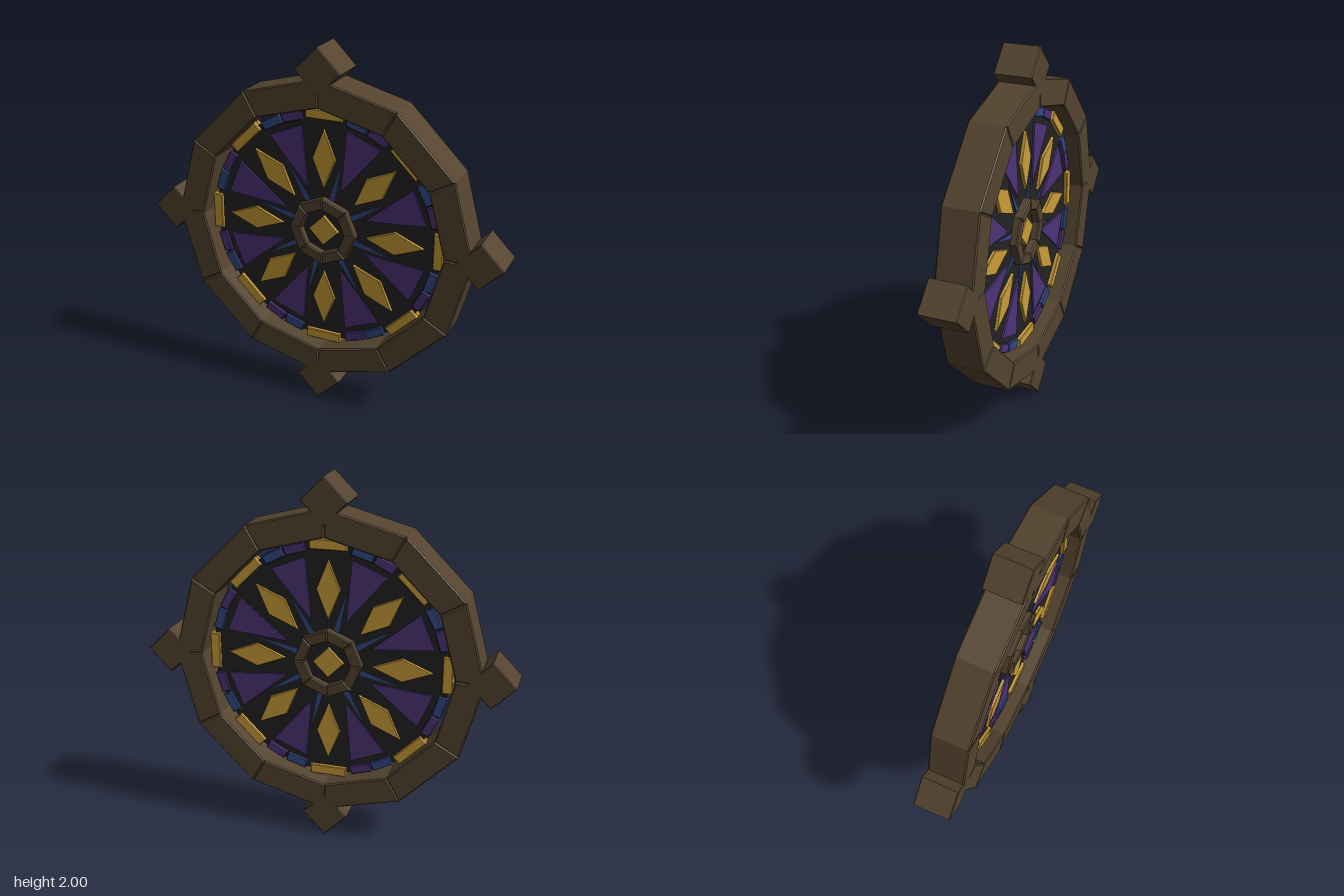
import * as THREE from 'three';

const mat = (name, color) => {
  const m = new THREE.MeshStandardMaterial({ color });
  m.name = name;
  return m;
};

export function createModel() {
  const stone = mat('brown stone', 0x54442f);
  const lead = mat('black lead', 0x222222);
  const gold = mat('gold glass', 0xc99c38);
  const purple = mat('purple glass', 0x4d3378);
  const blue = mat('blue glass', 0x314a85);

  const rosette = new THREE.Group();
  rosette.name = 'roseWindow';
  rosette.position.y = 1;

  // Outline drawn along +x (radius, offset), extruded from z0 to z1 with a fine chamfer
  const slab = (points, z0, z1, bevel) => {
    const shape = new THREE.Shape(points.map(([x, y]) => new THREE.Vector2(x, y)));
    const g = new THREE.ExtrudeGeometry(shape, {
      depth: z1 - z0 - 2 * bevel, bevelEnabled: bevel > 0, bevelSegments: 1,
      bevelSize: bevel, bevelThickness: bevel, bevelOffset: -bevel,
    });
    return g.translate(0, 0, z0 + bevel);
  };

  // Repeats one piece around the centre, at a start angle in degrees
  const around = (parent, name, geometry, material, count, start) => {
    for (let i = 0; i < count; i++) {
      const m = new THREE.Mesh(geometry, material);
      m.name = name;
      m.rotation.z = THREE.MathUtils.degToRad(start + (i * 360) / count);
      parent.add(m);
    }
  };

  // Mitred block of a polygonal ring, given its corner radii
  const ringBlock = (rIn, rOut, sides, z0, z1, bevel) => {
    const c = Math.cos(Math.PI / sides), s = Math.sin(Math.PI / sides);
    return slab([[rIn * c, -rIn * s], [rOut * c, -rOut * s], [rOut * c, rOut * s], [rIn * c, rIn * s]],
      z0, z1, bevel);
  };
  const diamond = (near, far, half) => {
    const mid = (near + far) / 2;
    return [[near, 0], [mid, -half], [far, 0], [mid, half]];
  };
  const bar = (r0, r1, half) => [[r0, -half], [r1, -half], [r1, half], [r0, half]];

  // Stone frame: twelve mitred blocks and four diamond bosses
  around(rosette, 'frameBlock', ringBlock(0.69, 0.84, 12, -0.1, 0.1, 0.007), stone, 12, 15);
  around(rosette, 'frameBoss', slab(diamond(0.75, 1, 0.125), -0.1, 0.1, 0.004), stone, 4, 0);

  // Dark panel behind the glass
  const panel = new THREE.Mesh(new THREE.CylinderGeometry(0.65, 0.65, 0.02, 48).rotateX(Math.PI / 2), lead);
  panel.name = 'leadPanel';
  rosette.add(panel);

  // The same glass and hub on the front and the back
  for (const turn of [0, Math.PI]) {
    const side = new THREE.Group();
    side.name = turn ? 'backGlazing' : 'frontGlazing';
    side.rotation.y = turn;
    rosette.add(side);

    // Border tiles
    around(side, 'goldBorderTile', slab(bar(0.612, 0.665, 0.1), 0, 0.03, 0.004), gold, 8, 0);
    const tile = slab(bar(0.605, 0.655, 0.058), 0, 0.026, 0.004);
    around(side, 'purpleBorderTile', tile, purple, 8, 16.8);
    around(side, 'blueBorderTile', tile, blue, 8, 28.2);

    // Petals, lozenges and thin rays
    around(side, 'purplePetal', slab([[0.25, 0], [0.57, -0.1], [0.57, 0.1]], 0, 0.02, 0), purple, 8, 22.5);
    around(side, 'goldLozenge', slab(diamond(0.24, 0.56, 0.065), 0, 0.025, 0.003), gold, 8, 0);
    around(side, 'blueRay', slab([[0.17, -0.016], [0.39, 0], [0.17, 0.016]], 0, 0.014, 0), blue, 8, 31);

    // Hub ring with its central diamond
    around(side, 'hubBlock', ringBlock(0.125, 0.19, 8, 0, 0.05, 0.006), stone, 8, 22.5);
    around(side, 'hubDiamond', slab(diamond(-0.085, 0.085, 0.085), 0, 0.03, 0.003), gold, 1, 0);
  }

  const model = new THREE.Group();
  model.name = 'model';
  model.add(rosette);
  return model;
}
